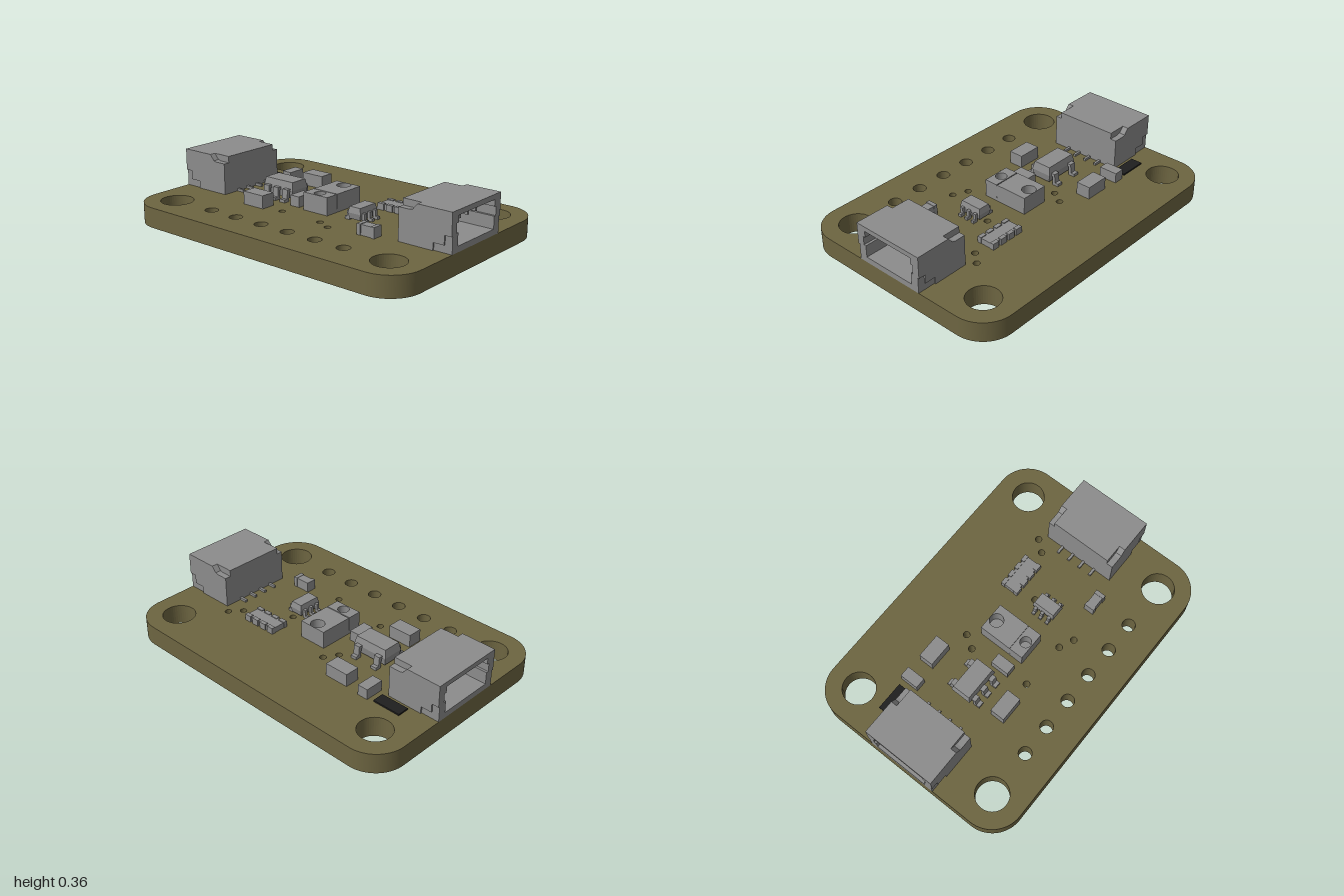
import * as THREE from 'three';

const boardMat = new THREE.MeshStandardMaterial({ name: 'olive board', color: 0x6d6541 });
const greyMat = new THREE.MeshStandardMaterial({ name: 'component grey', color: 0x8c8c8c });
const blackMat = new THREE.MeshStandardMaterial({ name: 'black', color: 0x1f1f1f });
const TOP = 0.125;

function add(parent, name, geometry, material = greyMat) {
  const mesh = new THREE.Mesh(geometry, material);
  mesh.name = name;
  parent.add(mesh);
  return mesh;
}

// Box given by its limits
function block(parent, name, x0, x1, y0, y1, z0, z1, material) {
  const g = new THREE.BoxGeometry(x1 - x0, y1 - y0, z1 - z0);
  g.translate((x0 + x1) / 2, (y0 + y1) / 2, (z0 + z1) / 2);
  return add(parent, name, g, material);
}

function polygon(points) {
  return new THREE.Shape(points.map(([x, y]) => new THREE.Vector2(x, y)));
}

function circle(x, y, r) {
  return new THREE.Path().absarc(x, y, r, 0, Math.PI * 2, true);
}

function extrude(shape, depth, curveSegments = 24) {
  return new THREE.ExtrudeGeometry(shape, { depth, bevelEnabled: false, curveSegments });
}

function rect(x0, x1, z0, z1) {
  return polygon([[x0, -z1], [x1, -z1], [x1, -z0], [x0, -z0]]);
}

// Shape drawn as (x, -z), raised from y0 to y1
function slab(parent, name, shape, y0, y1, material) {
  const g = extrude(shape, y1 - y0);
  g.rotateX(-Math.PI / 2).translate(0, y0, 0);
  return add(parent, name, g, material);
}

function makeBoard(parent) {
  const s = new THREE.Shape();
  const q = Math.PI / 2;
  [[0.8, 0.5], [-0.8, 0.5], [-0.8, -0.5], [0.8, -0.5]].forEach(([x, y], i) =>
    s.absarc(x, y, 0.2, i * q, (i + 1) * q, false));
  for (const x of [-0.8, 0.8]) for (const z of [-0.5, 0.5]) s.holes.push(circle(x, -z, 0.1));
  for (let i = 0; i < 6; i++) s.holes.push(circle(-0.5 + 0.2 * i, -0.5, 0.04));
  const vias = [[-0.15, -0.22], [-0.2, -0.14], [-0.17, 0.25], [0.13, 0.26], [0.22, 0.3],
    [0.28, -0.04], [0.55, -0.2], [0.61, -0.27], [0.72, -0.02], [0.73, 0.14],
    [-0.725, 0.13], [-0.725, 0.05], [-0.725, -0.06], [-0.725, -0.19]];
  for (const [x, z] of vias) s.holes.push(circle(x, -z, 0.02));
  slab(parent, 'circuitBoard', s, 0, TOP, boardMat);
}

// Side-entry socket opening towards +x
function makeConnector(name) {
  const group = new THREE.Group();
  group.name = name;
  const face = polygon([[-0.196, TOP], [0.196, TOP], [0.196, 0.36], [-0.196, 0.36]]);
  face.holes.push(polygon([[-0.175, 0.16], [-0.175, 0.235], [-0.19, 0.235], [-0.19, 0.29],
    [-0.175, 0.29], [-0.175, 0.33], [0.175, 0.33], [0.175, 0.29], [0.19, 0.29],
    [0.19, 0.235], [0.175, 0.235], [0.175, 0.16]]));
  const shell = extrude(face, 0.28);
  shell.rotateY(Math.PI / 2).translate(0.72, 0, 0);
  add(group, 'socketShell', shell);
  block(group, 'socketBack', 0.66, 0.72, TOP, 0.36, -0.196, 0.196);
  // Side walls with a notch on top and a solder tab below
  const side = polygon([[0.66, TOP], [0.885, TOP], [0.885, 0.17], [0.955, 0.17], [0.955, 0.225],
    [1, 0.225], [1, 0.36], [0.78, 0.36], [0.75, 0.325], [0.73, 0.32], [0.66, 0.32]]);
  const tab = polygon([[0.885, TOP], [1, TOP], [1, 0.225], [0.955, 0.225], [0.955, 0.17], [0.885, 0.17]]);
  for (const s of [-1, 1]) {
    const wall = extrude(side, 0.039);
    wall.translate(0, 0, s > 0 ? 0.196 : -0.235);
    add(group, 'socketSide', wall);
    const foot = extrude(tab, 0.03);
    foot.translate(0, 0, s > 0 ? 0.196 : -0.226);
    add(group, 'solderTab', foot);
  }
  for (const z of [-0.12, -0.04, 0.04, 0.12]) {
    block(group, 'socketPin', 0.72, 0.92, 0.262, 0.297, z - 0.008, z + 0.008);
    block(group, 'solderPin', 0.61, 0.66, TOP, 0.14, z - 0.008, z + 0.008);
  }
  return group;
}

// Moulded chip body, widest at mid height
function moulded(parent, name, x0, x1, y0, y1, z0, z1, inset) {
  const g = new THREE.BoxGeometry(x1 - x0, y1 - y0, z1 - z0, 1, 2, 1).toNonIndexed();
  const p = g.attributes.position;
  const w = (x1 - x0) / 2, d = (z1 - z0) / 2;
  for (let i = 0; i < p.count; i++) {
    if (Math.abs(p.getY(i)) < 1e-4) continue;
    p.setX(i, p.getX(i) * (1 - inset / w));
    p.setZ(i, p.getZ(i) * (1 - inset / d));
  }
  g.computeVertexNormals();
  g.translate((x0 + x1) / 2, (y0 + y1) / 2, (z0 + z1) / 2);
  add(parent, name, g);
}

// Gull-wing leg leaving the body along +z, turned by angle
function leg(parent, x, z, angle, reach, height, width) {
  const t = 0.018, a = reach * 0.35, b = reach * 0.6;
  const g = extrude(polygon([[-0.02, height - t], [a - t * 0.5, height - t], [b - t, 0], [reach, 0],
    [reach, t], [b, t], [a + t * 0.5, height], [-0.02, height]]), width);
  g.translate(0, 0, -width / 2).rotateY(-Math.PI / 2);
  const m = add(parent, 'chipLeg', g);
  m.position.set(x, TOP, z);
  m.rotation.y = angle;
}

function makeChips(parent) {
  // Five-leg regulator
  moulded(parent, 'regulatorBody', -0.48, -0.245, 0.14, 0.24, -0.06, 0.075, 0.01);
  for (const x of [-0.437, -0.361, -0.285]) leg(parent, x, 0.07, 0, 0.056, 0.075, 0.04);
  for (const x of [-0.437, -0.285]) leg(parent, x, -0.055, Math.PI, 0.056, 0.075, 0.04);
  // Six-leg transistor pair
  moulded(parent, 'transistorBody', 0.23, 0.322, 0.138, 0.21, -0.02, 0.135, 0.008);
  for (const z of [0.008, 0.058, 0.108]) {
    leg(parent, 0.317, z, Math.PI / 2, 0.038, 0.055, 0.02);
    leg(parent, 0.235, z, -Math.PI / 2, 0.038, 0.055, 0.02);
  }
}

// Optical sensor with two round windows sunk in its top
function makeSensor(parent) {
  block(parent, 'sensorBase', -0.09, 0.09, TOP, 0.147, -0.154, 0.15);
  for (const [z0, z1, zc, r] of [[-0.154, 0.058, -0.11, 0.043], [0.064, 0.15, 0.108, 0.035]]) {
    const s = rect(-0.09, 0.09, z0, z1);
    s.holes.push(circle(0, -zc, r));
    slab(parent, 'sensorHousing', s, 0.147, 0.235);
    // Hollow dish in the window
    const profile = [];
    for (let i = 0; i <= 6; i++) {
      const a = (i / 6) * Math.PI / 2;
      profile.push(new THREE.Vector2(r * Math.sin(a), -r * Math.cos(a)));
    }
    const dish = add(parent, 'sensorWindow', new THREE.LatheGeometry(profile, 24));
    dish.position.set(0, 0.23, zc);
  }
  block(parent, 'sensorJoint', -0.088, 0.088, 0.147, 0.228, 0.056, 0.066);
}

function makePassives(parent) {
  block(parent, 'capacitorFront', -0.44, -0.285, TOP, 0.205, 0.2, 0.293);
  block(parent, 'capacitorBack', -0.44, -0.285, TOP, 0.205, -0.333, -0.24);
  block(parent, 'resistorBack', -0.6, -0.532, TOP, 0.19, -0.342, -0.223);
  block(parent, 'resistorMiddle', -0.208, -0.14, TOP, 0.19, 0.018, 0.136);
  block(parent, 'blackMarkerPart', -0.815, -0.635, TOP, 0.134, -0.33, -0.256, blackMat);
  // Small capacitor with raised end caps
  block(parent, 'capacitorRight', 0.44, 0.52, TOP, 0.187, 0.228, 0.285);
  for (const x of [0.42, 0.515]) block(parent, 'capacitorCap', x, x + 0.025, TOP, 0.19, 0.225, 0.29);
  // Resistor array with terminals along both long edges
  block(parent, 'arrayBody', 0.233, 0.462, TOP, 0.16, -0.25, -0.15);
  for (let i = 0; i < 4; i++) {
    const x = 0.23 + i * 0.0633;
    for (const z of [-0.26, -0.165]) block(parent, 'arrayTerminal', x, x + 0.045, TOP, 0.165, z, z + 0.025);
  }
}

export function createModel() {
  const model = new THREE.Group();
  model.name = 'sensorBoard';
  makeBoard(model);
  const left = makeConnector('leftConnector');
  const right = makeConnector('rightConnector');
  right.rotation.y = Math.PI;
  model.add(left, right);
  makeChips(model);
  makeSensor(model);
  makePassives(model);
  return model;
}
